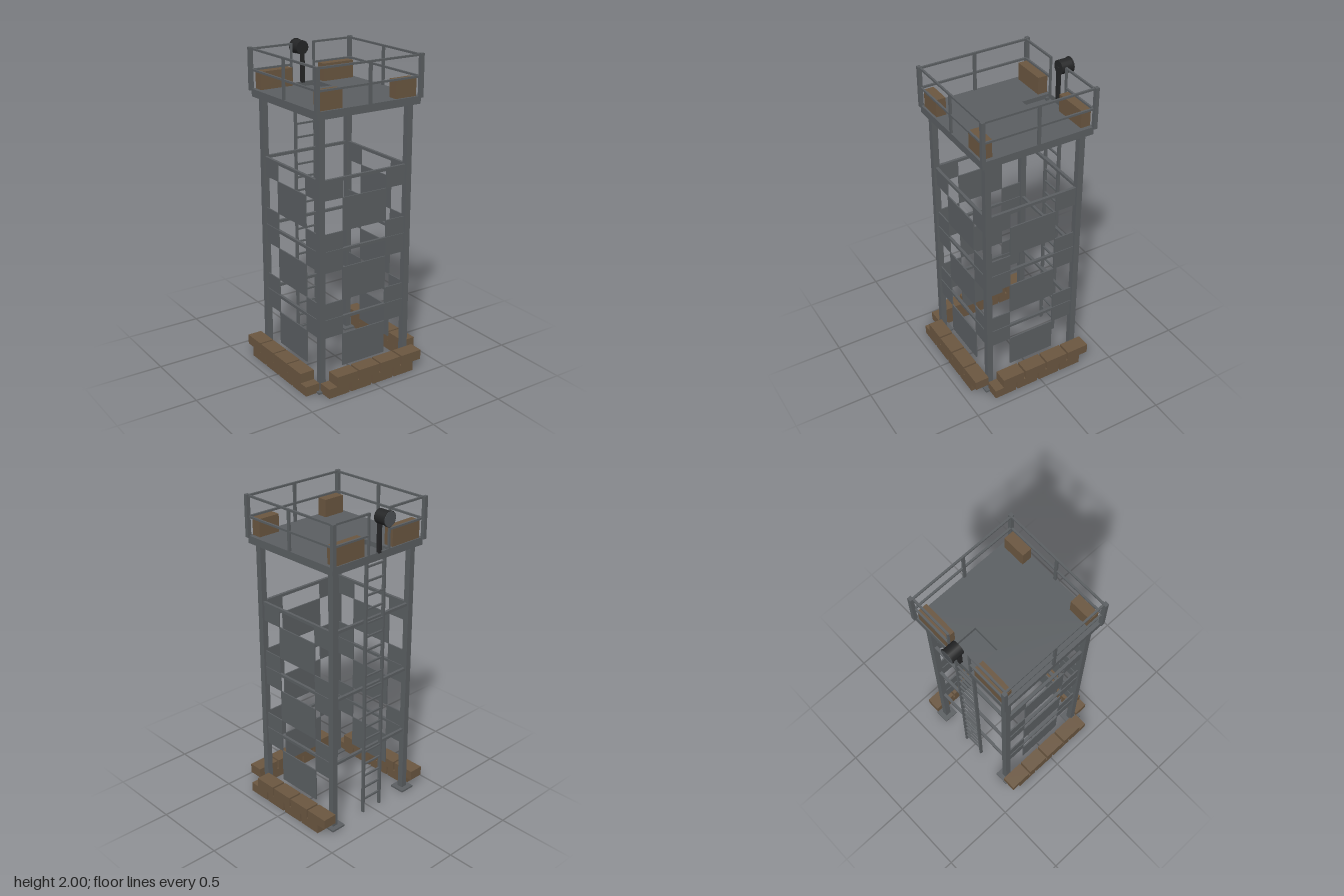
import * as THREE from 'three';

const mat = (name, color) => new THREE.MeshStandardMaterial({ name, color });

export function createModel() {
  const steel = mat('steel', 0x5a5e61);
  const brown = mat('sandbag brown', 0x6a5640);
  const black = mat('lamp black', 0x242526);
  const lensGrey = mat('lens grey', 0x4c5053);
  const model = new THREE.Group();
  model.name = 'watchtower';

  const group = (name, parent = model) => {
    const g = new THREE.Group();
    g.name = name;
    parent.add(g);
    return g;
  };
  // Box given by its limits on each axis
  const box = (parent, name, m, [x0, x1], [y0, y1], [z0, z1]) => {
    const mesh = new THREE.Mesh(new THREE.BoxGeometry(x1 - x0, y1 - y0, z1 - z0), m);
    mesh.position.set((x0 + x1) / 2, (y0 + y1) / 2, (z0 + z1) / 2);
    mesh.name = name;
    parent.add(mesh);
    return mesh;
  };
  const around = (c, size) => [c - size / 2, c + size / 2];

  // Legs with foot plates
  const legs = group('legs');
  for (const x of [-0.31, 0.31]) for (const z of [-0.31, 0.31]) {
    box(legs, 'leg', steel, around(x, 0.038), [0, 1.7], around(z, 0.038));
    box(legs, 'footPlate', steel, around(x, 0.1), [0, 0.012], around(z, 0.1));
  }

  // Cross bars on all four sides, chequered panels on all but the back
  for (let side = 0; side < 4; side++) {
    const wall = group(['frontWall', 'leftWall', 'backBars', 'rightWall'][side]);
    wall.rotation.y = side * Math.PI / 2;
    for (const y of [0.447, 0.884, 1.322])
      box(wall, 'crossBar', steel, [-0.292, 0.292], around(y, 0.018), around(0.31, 0.018));
    if (side === 2) continue;
    for (const y of [[0.12, 0.335], [0.56, 0.77], [1.0, 1.205]])
      box(wall, 'middlePanel', steel, [-0.156, 0.156], y, around(0.31, 0.008));
    for (const y of [[0.335, 0.56], [0.77, 1.0], [1.205, 1.325]])
      for (const x of [[-0.292, -0.156], [0.156, 0.292]])
        box(wall, 'sidePanel', steel, x, y, around(0.31, 0.008));
  }

  // Ladder
  const ladder = group('ladder');
  for (const x of [-0.072, 0.072])
    box(ladder, 'ladderRail', steel, around(x, 0.013), [0, 1.735], around(-0.33, 0.02));
  for (let i = 0; i < 19; i++)
    box(ladder, 'rung', steel, [-0.07, 0.07], around(0.093 + i * 0.0873, 0.011), around(-0.33, 0.011));

  // Deck with a sunken hatch above the ladder
  const platform = group('platform');
  const rect = (s, x0, x1, y0, y1) =>
    s.moveTo(x0, y0).lineTo(x1, y0).lineTo(x1, y1).lineTo(x0, y1).closePath();
  const outline = rect(new THREE.Shape(), -0.36, 0.36, -0.36, 0.36);
  outline.holes.push(rect(new THREE.Path(), -0.088, 0.088, 0.165, 0.354));
  const deck = new THREE.Mesh(
    new THREE.ExtrudeGeometry(outline, { depth: 0.047, bevelEnabled: false }), steel);
  deck.rotation.x = -Math.PI / 2;
  deck.position.y = 1.698;
  deck.name = 'deck';
  platform.add(deck);
  box(platform, 'hatch', steel, [-0.088, 0.088], [1.698, 1.716], [-0.354, -0.165]);

  // Railing: corner posts, then posts and rails on each side
  const railing = group('railing');
  for (const x of [-0.36, 0.36]) for (const z of [-0.365, 0.357])
    box(railing, 'cornerPost', steel, around(x, 0.025), [1.735, 1.995], around(z, 0.023));
  for (let side = 0; side < 4; side++) {
    const rails = group('railingSide', railing);
    rails.rotation.y = side * Math.PI / 2;
    const back = side === 2;
    const spans = back ? [[-0.36, -0.076], [0.076, 0.36]] : [[-0.36, 0.36]];
    for (const span of spans) for (const y of [1.86, 1.986])
      box(rails, 'rail', steel, span, around(y, 0.012), around(0.354, 0.012));
    for (const x of back ? [-0.081, 0.081] : [0])
      box(rails, 'railPost', steel, around(x, back ? 0.012 : 0.019), [1.74, 1.99], around(0.354, 0.012));
  }

  // Sandbag blocks on the deck
  const cover = group('deckSandbags');
  for (const s of [-1, 1]) {
    const span = (a, b) => (s < 0 ? [-b, -a] : [a, b]);
    box(cover, 'backSandbag', brown, span(0.112, 0.334), [1.744, 1.855], [-0.353, -0.29]);
    box(cover, 'frontSandbag', brown, span(0.187, 0.334), [1.744, 1.855], [0.284, 0.347]);
  }

  // Two staggered courses of sandbags on the ground, front and both sides
  const bagRow = (name, place) => {
    const row = group(name);
    for (let i = 0; i < 4; i++) {
      const low = -0.335 + i * 0.1615, high = -0.275 + i * 0.1615;
      place(row, [low, low + 0.148], [0, 0.062]);
      place(row, [high, high + 0.149], [0.062, 0.125]);
    }
  };
  bagRow('frontSandbags', (row, s, y) => box(row, 'sandbag', brown, s, y, [0.34, 0.433]));
  bagRow('leftSandbags', (row, s, y) => box(row, 'sandbag', brown, [0.34, 0.433], y, [-s[1] - 0.003, -s[0] - 0.003]));
  bagRow('rightSandbags', (row, s, y) => box(row, 'sandbag', brown, [-0.435, -0.34], y, [-s[1] - 0.003, -s[0] - 0.003]));

  // Searchlight pointing out over the back
  const lamp = group('searchlight');
  box(lamp, 'lampPost', black, around(0, 0.022), [1.74, 1.96], around(-0.356, 0.02));
  const drum = (name, m, r, z0, z1) => {
    const mesh = new THREE.Mesh(new THREE.CylinderGeometry(r, r, z1 - z0, 20), m);
    mesh.rotation.x = Math.PI / 2;
    mesh.position.set(0, 1.957, (z0 + z1) / 2);
    mesh.name = name;
    lamp.add(mesh);
  };
  drum('lampBody', black, 0.043, -0.427, -0.353);
  drum('lampRim', black, 0.047, -0.434, -0.426);
  drum('lens', lensGrey, 0.044, -0.436, -0.433);

  return model;
}
